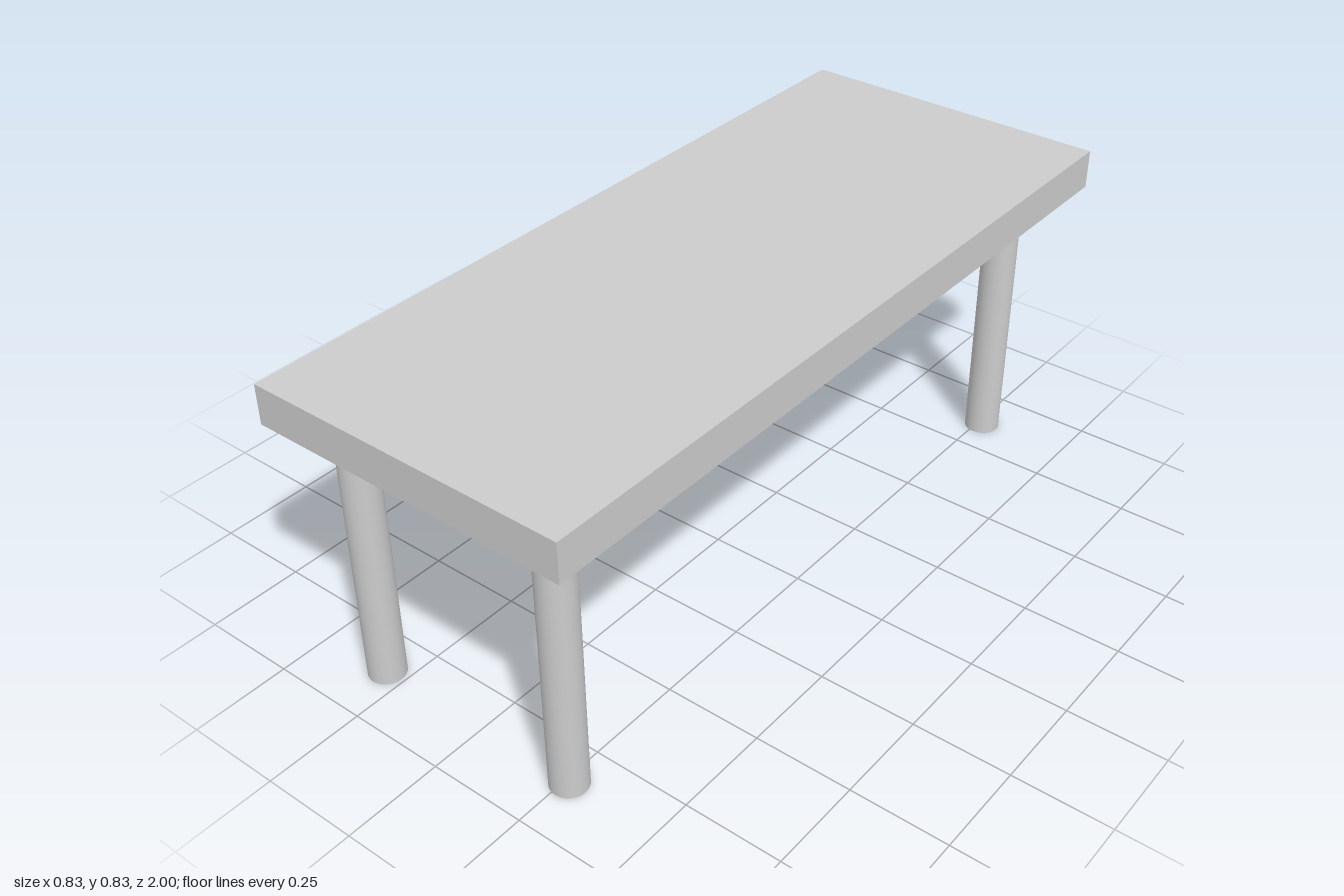
import * as THREE from 'three';

export function createModel() {
  const model = new THREE.Group();
  model.name = 'table';
  const material = new THREE.MeshStandardMaterial({ color: 0xcccccc });

  const height = 0.831, thickness = 0.1, legHeight = height - thickness;

  // Slab top
  const top = new THREE.Mesh(new THREE.BoxGeometry(0.83, thickness, 2), material);
  top.name = 'tableTop';
  top.position.y = height - thickness / 2;
  model.add(top);

  // Four round legs, set slightly off centre under the top
  const legGeometry = new THREE.CylinderGeometry(0.046, 0.046, legHeight, 32);
  for (const [end, z] of [['front', 0.855], ['back', -0.86]]) {
    for (const [side, x] of [['Right', -0.305], ['Left', 0.262]]) {
      const leg = new THREE.Mesh(legGeometry, material);
      leg.name = `${end}${side}Leg`;
      leg.position.set(x, legHeight / 2, z);
      model.add(leg);
    }
  }

  return model;
}
